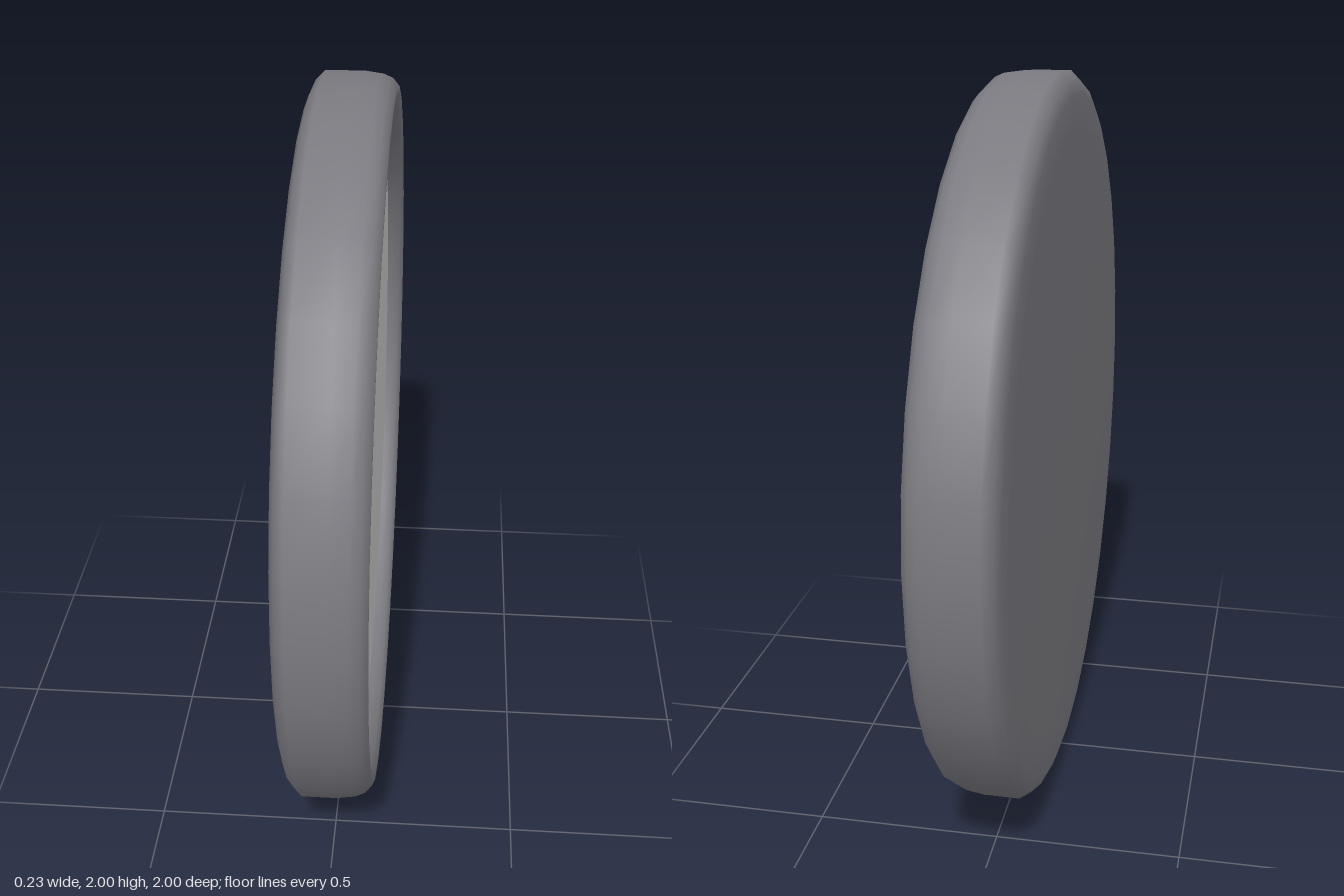
import * as THREE from 'three';

const SEGMENTS = 32;

export function createModel() {
  const model = new THREE.Group();
  model.name = 'roundPanel';

  const shellMaterial = new THREE.MeshStandardMaterial({ color: 0x7a7a80 });
  const faceMaterial = new THREE.MeshStandardMaterial({ color: 0xcccccc });

  // Casing: [radius, x] from the centre of the back, around the rim, into the recess
  const profile = [
    [0, -0.115], [0.84, -0.115], [0.94, -0.113], [0.975, -0.1], [1, -0.075],
    [1, 0.02], [0.993, 0.07], [0.982, 0.095], [0.96, 0.113],
    [0.94, 0.113], [0.922, 0.1], [0.912, 0.08], [0.908, 0.055],
  ].map(([r, x]) => new THREE.Vector2(r, x));
  const shell = new THREE.Mesh(new THREE.LatheGeometry(profile, SEGMENTS), shellMaterial);
  shell.geometry.rotateZ(-Math.PI / 2);
  shell.position.y = 1;
  shell.name = 'casing';
  model.add(shell);

  // Flat face set slightly inside the rim, facing +x
  const face = new THREE.Mesh(new THREE.CircleGeometry(0.912, SEGMENTS), faceMaterial);
  face.geometry.rotateY(Math.PI / 2);
  face.position.set(0.065, 1, 0);
  face.name = 'face';
  model.add(face);

  return model;
}
